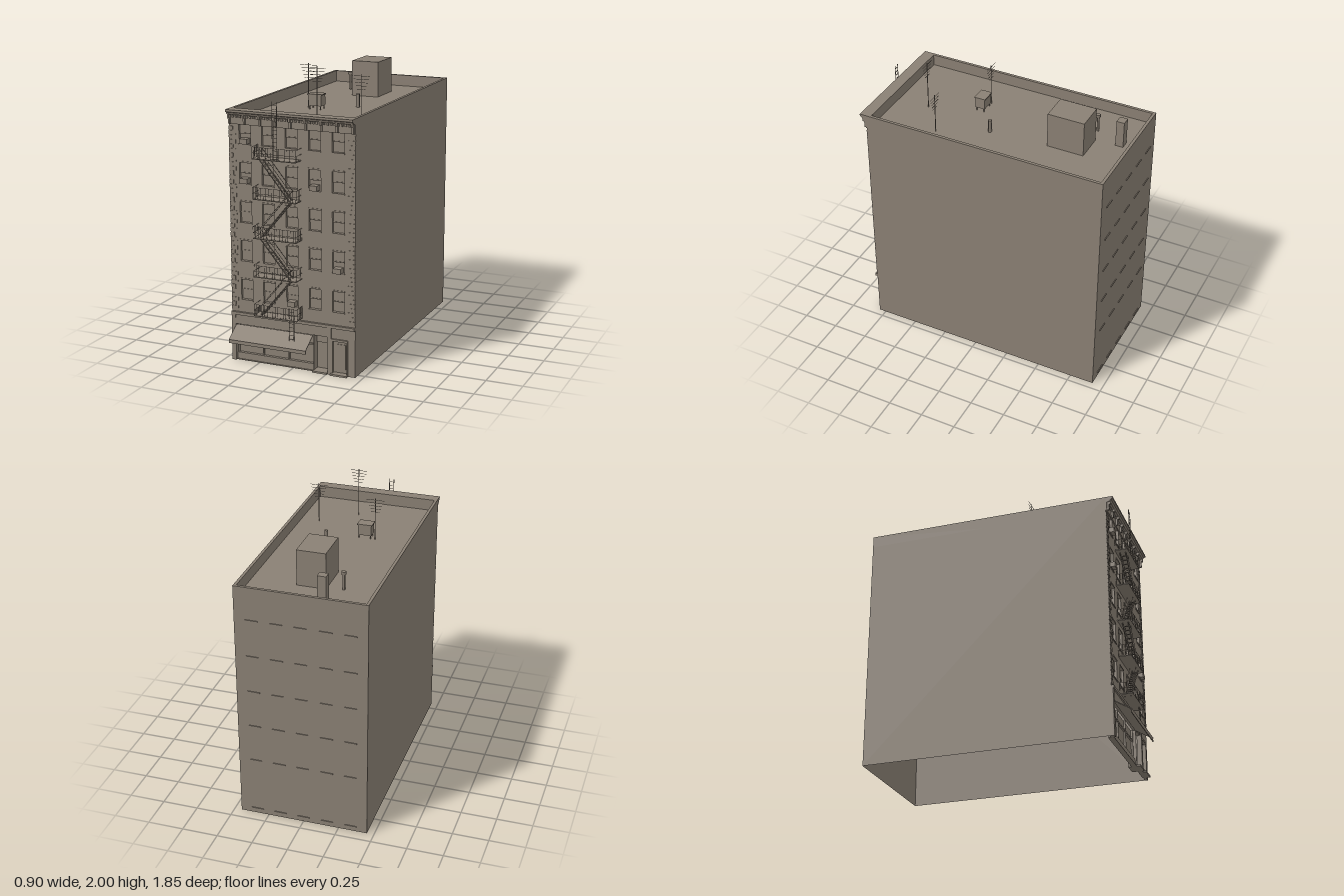
import * as THREE from 'three';

export function createModel() {
  const root = new THREE.Group();
  root.name = 'apartmentBuilding';
  const stone = new THREE.MeshStandardMaterial({ color: 0x8a8074, side: THREE.DoubleSide });
  stone.name = 'weatheredStone';

  const group = (name, parent = root) => {
    const g = new THREE.Group();
    g.name = name;
    parent.add(g);
    return g;
  };
  const add = (name, geo, parent = root) => {
    const m = new THREE.Mesh(geo, stone);
    m.name = name;
    parent.add(m);
    return m;
  };
  // Box given by its limits on each axis
  const box = (name, x0, x1, y0, y1, z0, z1, parent) => {
    const m = add(name, new THREE.BoxGeometry(x1 - x0, y1 - y0, z1 - z0), parent);
    m.position.set((x0 + x1) / 2, (y0 + y1) / 2, (z0 + z1) / 2);
    return m;
  };
  // Thin rod between two points
  const rod = (name, a, b, r, parent) => {
    const p = new THREE.Vector3(...a), q = new THREE.Vector3(...b);
    const m = add(name, new THREE.CylinderGeometry(r, r, p.distanceTo(q), 5), parent);
    m.position.copy(p).add(q).multiplyScalar(0.5);
    m.quaternion.setFromUnitVectors(new THREE.Vector3(0, 1, 0), q.sub(p).normalize());
    return m;
  };
  const rect = (Type, x0, x1, y0, y1) => new Type([
    [x0, y0], [x1, y0], [x1, y1], [x0, y1]].map(p => new THREE.Vector2(...p)));

  const W = 0.45, H = 1.73, BACK = -0.92, FRONT = 0.8, ROOF = 1.65;
  const columns = [-0.335, -0.17, 0, 0.165, 0.33];
  const floors = [0.435, 0.705, 0.97, 1.235, 1.5];
  const hw = 0.0425, wh = 0.14;

  // Side and back walls; the shell is open underneath
  for (const s of [-1, 1]) {
    const wall = add(s > 0 ? 'leftWall' : 'rightWall', new THREE.PlaneGeometry(FRONT - BACK, H));
    wall.rotation.y = s * Math.PI / 2;
    wall.position.set(s * W, H / 2, (FRONT + BACK) / 2);
  }
  const back = add('backWall', new THREE.PlaneGeometry(2 * W, H));
  back.rotation.y = Math.PI;
  back.position.set(0, H / 2, BACK);
  const backSills = group('backSills');
  for (const y of [0.04, ...floors]) for (const x of columns)
    box('backSill', x - hw, x + hw, y - 0.006, y, BACK - 0.006, BACK, backSills);

  // Front wall with window and shop openings
  const face = rect(THREE.Shape, -W, W, 0, H);
  for (const y of floors) for (const x of columns)
    face.holes.push(rect(THREE.Path, x - hw, x + hw, y, y + wh));
  face.holes.push(rect(THREE.Path, -0.42, 0.255, 0.004, 0.255));
  face.holes.push(rect(THREE.Path, 0.285, 0.395, 0.004, 0.24));
  const frontWall = add('frontWall', new THREE.ExtrudeGeometry(face, { depth: 0.02, bevelEnabled: false }));
  frontWall.position.z = FRONT - 0.02;

  // Sash windows
  const windows = group('windows');
  for (const y of floors) for (const x of columns) {
    const mid = y + wh / 2;
    box('lowerSash', x - hw, x + hw, y, mid, 0.776, 0.78, windows);
    box('upperSash', x - hw, x + hw, mid, y + wh, 0.779, 0.784, windows);
    box('meetingRail', x - hw, x + hw, mid - 0.003, mid + 0.003, 0.78, 0.788, windows);
    box('sill', x - hw - 0.003, x + hw + 0.003, y - 0.008, y, 0.79, 0.806, windows);
    box('lintel', x - hw - 0.003, x + hw + 0.003, y + wh, y + wh + 0.01, 0.79, 0.804, windows);
  }

  // Window air conditioners
  const coolers = group('airConditioners');
  for (const [x, y] of [[-0.335, 1.505], [-0.335, 1.24], [0.165, 1.24], [0.33, 0.705], [0, 0.437]])
    box('airConditioner', x - 0.027, x + 0.027, y, y + 0.035, 0.77, 0.83, coolers);

  // Alternating corner stones
  const quoins = group('quoins');
  for (let i = 0; i < 42; i++) for (const s of [-1, 1]) {
    const w = i % 2 ? 0.03 : 0.05, y = 0.36 + i * 0.03;
    const inner = s * (W - w), outer = s * W;
    box('quoin', Math.min(inner, outer), Math.max(inner, outer), y, y + 0.025, 0.797, 0.804, quoins);
  }

  // Roof deck and parapet
  const deck = add('roofDeck', new THREE.PlaneGeometry(2 * W, FRONT - BACK));
  deck.rotation.x = -Math.PI / 2;
  deck.position.set(0, ROOF, (FRONT + BACK) / 2);
  const rim = rect(THREE.Shape, -W, W, -FRONT, -BACK);
  rim.holes.push(rect(THREE.Path, -0.43, 0.43, -0.77, 0.9));
  const parapet = add('parapet', new THREE.ExtrudeGeometry(rim, { depth: H - ROOF, bevelEnabled: false }));
  parapet.rotation.x = -Math.PI / 2;
  parapet.position.y = ROOF;

  // Moulded cornice with dentils and brackets
  const cornice = group('cornice');
  const profile = new THREE.Shape([[0.8, 1.63], [0.808, 1.63], [0.808, 1.69], [0.83, 1.695], [0.838, 1.71],
    [0.85, 1.715], [0.85, 1.73], [0.8, 1.73]].map(p => new THREE.Vector2(-p[0], p[1])));
  const moulding = add('corniceMoulding', new THREE.ExtrudeGeometry(profile, { depth: 2 * W, bevelEnabled: false }), cornice);
  moulding.rotation.y = Math.PI / 2;
  moulding.position.x = -W;
  for (let i = 0; i < 9; i++) {
    const x = -0.438 + i * 0.1095;
    box('bracket', x - 0.007, x + 0.007, 1.675, 1.7, 0.8, 0.834, cornice);
    box('bracketFoot', x - 0.007, x + 0.007, 1.632, 1.675, 0.8, 0.822, cornice);
  }
  for (let i = 0; i < 36; i++) {
    const x = -0.4375 + i * 0.025;
    box('dentil', x - 0.006, x + 0.006, 1.675, 1.69, 0.8, 0.818, cornice);
  }

  // Shop front: window, sill, recessed entry, pilasters and sign band
  const shop = group('shopFront');
  box('shopWindow', -0.42, 0.15, 0, 0.255, 0.762, 0.768, shop);
  box('stallRiser', -0.42, 0.15, 0, 0.05, 0.766, 0.79, shop);
  box('transomBar', -0.42, 0.15, 0.175, 0.187, 0.766, 0.78, shop);
  for (const x of [-0.415, -0.23, -0.04, 0.145])
    box('mullion', x - 0.005, x + 0.005, 0.05, 0.255, 0.766, 0.78, shop);
  box('entryReveal', 0.15, 0.155, 0, 0.255, 0.74, 0.8, shop);
  box('shopDoor', 0.155, 0.255, 0, 0.195, 0.74, 0.746, shop);
  box('doorTransom', 0.155, 0.255, 0.195, 0.255, 0.74, 0.755, shop);
  box('leftPilaster', 0.255, 0.282, 0, 0.325, 0.795, 0.812, shop);
  box('rightPilaster', -0.45, -0.42, 0, 0.325, 0.795, 0.812, shop);
  box('signBand', -0.42, 0.255, 0.258, 0.325, 0.795, 0.808, shop);
  box('shopLedge', -0.45, 0.45, 0.325, 0.345, 0.795, 0.818, shop);
  box('shopStep', 0.15, 0.255, 0, 0.012, 0.745, 0.825, shop);

  // Residents' entrance
  const entry = group('residentEntrance');
  box('door', 0.285, 0.395, 0, 0.24, 0.776, 0.782, entry);
  box('doorPanel', 0.305, 0.375, 0.03, 0.21, 0.782, 0.786, entry);
  for (const x of [0.28, 0.39]) box('doorJamb', x, x + 0.01, 0, 0.245, 0.79, 0.808, entry);
  box('doorHead', 0.28, 0.4, 0.235, 0.25, 0.79, 0.812, entry);
  box('doorstep', 0.28, 0.4, 0, 0.012, 0.78, 0.83, entry);

  // Sloping awning with valance
  const awning = group('awning');
  const canopy = add('canopy', new THREE.BoxGeometry(0.565, 0.006, 0.138), awning);
  canopy.position.set(-0.135, 0.216, 0.861);
  canopy.rotation.x = Math.atan2(0.072, 0.118);
  box('valance', -0.4175, 0.1475, 0.157, 0.182, 0.914, 0.919, awning);

  // Fire escape: balconies with railings
  const escape = group('fireEscape');
  const levels = [0.36, 0.63, 0.893, 1.157, 1.425];
  const X0 = -0.24, X1 = 0.07, Z1 = 0.888, R = 0.0016;
  for (const y of levels) {
    const b = group('balcony', escape);
    box('platform', X0, X1, y, y + 0.006, 0.8, Z1, b);
    for (const h of [0.043, 0.083]) {
      rod('frontRail', [X0, y + h, Z1], [X1, y + h, Z1], R, b);
      for (const x of [X0, X1]) rod('endRail', [x, y + h, FRONT], [x, y + h, Z1], R, b);
    }
    for (let i = 0; i <= 16; i++) {
      const x = X0 + (X1 - X0) * i / 16;
      rod('baluster', [x, y, Z1], [x, y + 0.083, Z1], 0.0012, b);
    }
    for (let i = 0; i < 4; i++) for (const x of [X0, X1])
      rod('endBaluster', [x, y, 0.802 + i * 0.022], [x, y + 0.083, 0.802 + i * 0.022], 0.0012, b);
  }

  // Zigzag stairs between the balconies
  for (let i = 0; i < 4; i++) {
    const s = group('stair', escape);
    const [xa, xb] = i % 2 ? [0.02, -0.2] : [-0.2, 0.02];
    const ya = levels[i], yb = levels[i + 1];
    for (const z of [0.825, 0.865]) {
      rod('stringer', [xa, ya, z], [xb, yb, z], 0.004, s);
      rod('handrail', [xa, ya + 0.07, z], [xb, yb + 0.07, z], R, s);
      rod('newel', [xa, ya, z], [xa, ya + 0.07, z], R, s);
      rod('newel', [xb, yb, z], [xb, yb + 0.07, z], R, s);
    }
    for (let k = 1; k < 12; k++) {
      const t = k / 12, x = xa + (xb - xa) * t, y = ya + (yb - ya) * t;
      box('tread', x - 0.008, x + 0.008, y - 0.001, y + 0.001, 0.825, 0.865, s);
    }
  }

  // Drop ladder and roof ladder
  const ladder = (name, x0, x1, y0, y1, z) => {
    const l = group(name, escape);
    for (const x of [x0, x1]) rod('ladderRail', [x, y0, z], [x, y1, z], 0.0025, l);
    for (let y = y0 + 0.012; y < y1; y += 0.027) rod('rung', [x0, y, z], [x1, y, z], 0.0016, l);
  };
  ladder('dropLadder', 0.005, 0.04, 0.215, 0.44, 0.865);
  ladder('roofLadder', -0.1, -0.067, 1.425, 1.81, 0.872);

  // Roof structures
  const top = group('roofStructures');
  box('stairBulkhead', -0.08, 0.12, ROOF, 1.9, -0.64, -0.38, top);
  box('chimney', -0.145, -0.085, ROOF, 1.84, -0.835, -0.78, top);
  box('ventBox', -0.14, -0.045, 1.675, 1.755, 0.165, 0.235, top);
  box('ventBoxLid', -0.145, -0.04, 1.748, 1.756, 0.16, 0.24, top);
  for (const x of [-0.135, -0.055]) for (const z of [0.17, 0.225])
    box('ventBoxLeg', x, x + 0.006, ROOF, 1.68, z, z + 0.006, top);
  rod('ventPipe', [-0.19, ROOF, -0.61], [-0.19, 1.765, -0.61], 0.009, top);
  rod('ventCap', [-0.19, 1.76, -0.61], [-0.19, 1.78, -0.61], 0.017, top);
  rod('shortPipe', [0.14, ROOF, 0.03], [0.14, 1.742, 0.03], 0.014, top);

  // Aerials with crossbars narrowing downwards
  for (const [x, z, h] of [[-0.165, 0.175, 1.955], [0.065, 0.54, 2], [0.3, 0.355, 1.935]]) {
    const a = group('aerial', top);
    rod('mast', [x, ROOF, z], [x, h, z], 0.003, a);
    for (let i = 0; i < 5; i++) {
      const w = 0.062 - i * 0.008, y = h - 0.012 - i * 0.022;
      rod('crossbar', [x - w, y, z], [x + w, y, z], 0.0016, a);
    }
  }
  return root;
}
